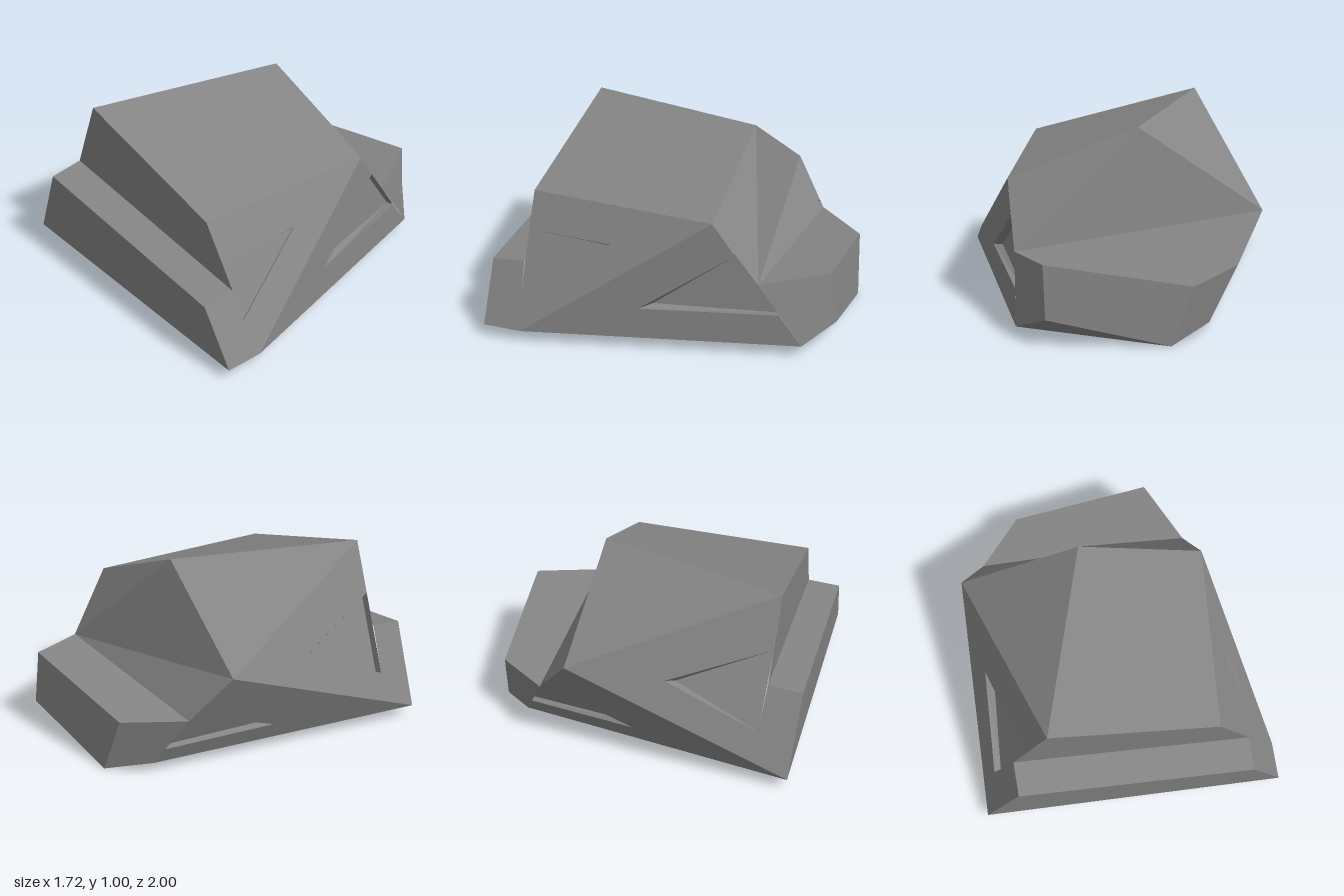
import * as THREE from 'three';

const v = (x, y, z) => new THREE.Vector3(x, y, z);

// Corners of the faceted rock
const P = {
  // upper block
  A: v(-0.465, 0.97, 0.49), B: v(0.13, 1.0, -0.41), C: v(0.43, 0.72, 0.75), D: v(0.79, 0.72, -0.21),
  E: v(-0.48, 0.57, -0.66), F: v(0.81, 0.39, -0.45),
  // front ledge
  L1: v(-0.69, 0.505, 0.59), L2: v(0.56, 0.375, 0.965), L3: v(0.615, 0.39, 0.79), L4: v(-0.64, 0.53, 0.41),
  // back ledge
  G: v(-0.3, 0.33, -0.8), H: v(0, 0.31, -1.0), Q: v(0.74, 0.435, -0.82), R: v(0.74, 0.155, -0.86), S: v(0.12, 0, -1.0),
  // underside
  T: v(-0.12, 0.06, -0.88), U: v(0.855, 0.065, -0.68), V: v(0.79, 0.065, 0.8), W: v(0.73, 0.065, 1.0), X: v(-0.86, 0.065, 0.5),
  // notch corners: a and b at the open edge, t at the tip
  la: v(-0.57, 0.7, 0.44), lt: v(-0.57, 0.53, -0.13), lb: v(-0.74, 0.29, 0.35),
  ua: v(-0.32, 0.36, -0.785), ut: v(-0.477, 0.16, -0.3), ub: v(-0.18, 0.15, -0.853),
  ra: v(0.53, 0.54, 0.77), rt: v(0.695, 0.54, 0.32), rb: v(0.69, 0.24, 0.8),
  ka: v(0.8, 0.55, -0.33), kt: v(0.806, 0.23, 0.17), kb: v(0.832, 0.23, -0.56),
};
const pick = (names) => names.split(' ').map((n) => P[n]);

// Average normal of a counter-clockwise polygon
function polygonNormal(pts) {
  const n = v(0, 0, 0);
  pts.forEach((p, i) => n.add(p.clone().cross(pts[(i + 1) % pts.length])));
  return n.normalize();
}

// Corner positions of the triangles filling a polygon, convex or not
function fillPolygon(pts, n) {
  const u = pts[1].clone().sub(pts[0]).projectOnPlane(n).normalize();
  const w = n.clone().cross(u);
  const flat = pts.map((p) => new THREE.Vector2(p.dot(u), p.dot(w)));
  return THREE.ShapeUtils.triangulateShape(flat, []).flatMap((f) => f.map((i) => pts[i]));
}

// Mesh of polygons, each shaded evenly with its own normal
function facetMesh(name, polygons, material) {
  const points = [];
  const normals = [];
  for (const polygon of polygons) {
    const n = polygonNormal(polygon);
    for (const p of fillPolygon(polygon, n)) {
      points.push(p);
      normals.push(n.x, n.y, n.z);
    }
  }
  const geometry = new THREE.BufferGeometry().setFromPoints(points);
  geometry.setAttribute('normal', new THREE.Float32BufferAttribute(normals, 3));
  const mesh = new THREE.Mesh(geometry, material);
  mesh.name = name;
  return mesh;
}

// Sunken floor and sloping sides of a notch; the tip (index 1) is drawn in
function notch(loop, depth, pull) {
  const n = polygonNormal(loop);
  const mid = loop[0].clone().add(loop[2]).multiplyScalar(0.5);
  const floor = loop.map((p, i) => p.clone().lerp(mid, i === 1 ? pull : 0).addScaledVector(n, -depth));
  const sides = loop.flatMap((p, i) => {
    const j = (i + 1) % loop.length;
    return [[p, loop[j], floor[j]], [p, floor[j], floor[i]]];
  });
  return [floor, ...sides];
}

export function createModel() {
  const group = new THREE.Group();
  group.name = 'facetedRock';
  const material = new THREE.MeshStandardMaterial({ color: 0x858585 });

  const parts = {
    frontLowerWall: ['X W L2 L1'],
    frontLedge: ['L1 L2 L3 L4'],
    frontUpperWall: ['L4 L3 C A'],
    topSlope: ['A C D B'],
    rightTopFacet: ['A B E'],
    backSlope: ['B D F', 'B F E', 'E F G'],
    backLedge: ['G F Q H'],
    backLedgeWall: ['H Q R S', 'G H S T', 'F U R Q'],
    underside: ['X T U V W', 'T S U', 'R U S'],
    // side panels, outlined around their notches
    rightUpperPanel: ['A E X L1 L4 lb lt la'],
    rightLowerPanel: ['E ua ut ub T X'],
    leftFrontPanel: ['D C ra rt rb L3 L2 W V'],
    leftBackPanel: ['D V U kb kt ka'],
  };
  for (const [name, faces] of Object.entries(parts)) {
    group.add(facetMesh(name, faces.map(pick), material));
  }

  // notches cut into the side panels
  const notches = [
    ['rightUpperNotch', 'la lt lb', 0.04, 0.1],
    ['rightLowerNotch', 'ub ut ua G', 0.03, 0.1],
    ['leftFrontNotch', 'rb rt ra', 0.01, 0.02],
    ['leftBackNotch', 'ka kt kb F', 0.04, 0.12],
  ];
  for (const [name, loop, depth, pull] of notches) {
    group.add(facetMesh(name, notch(pick(loop), depth, pull), material));
  }
  return group;
}
